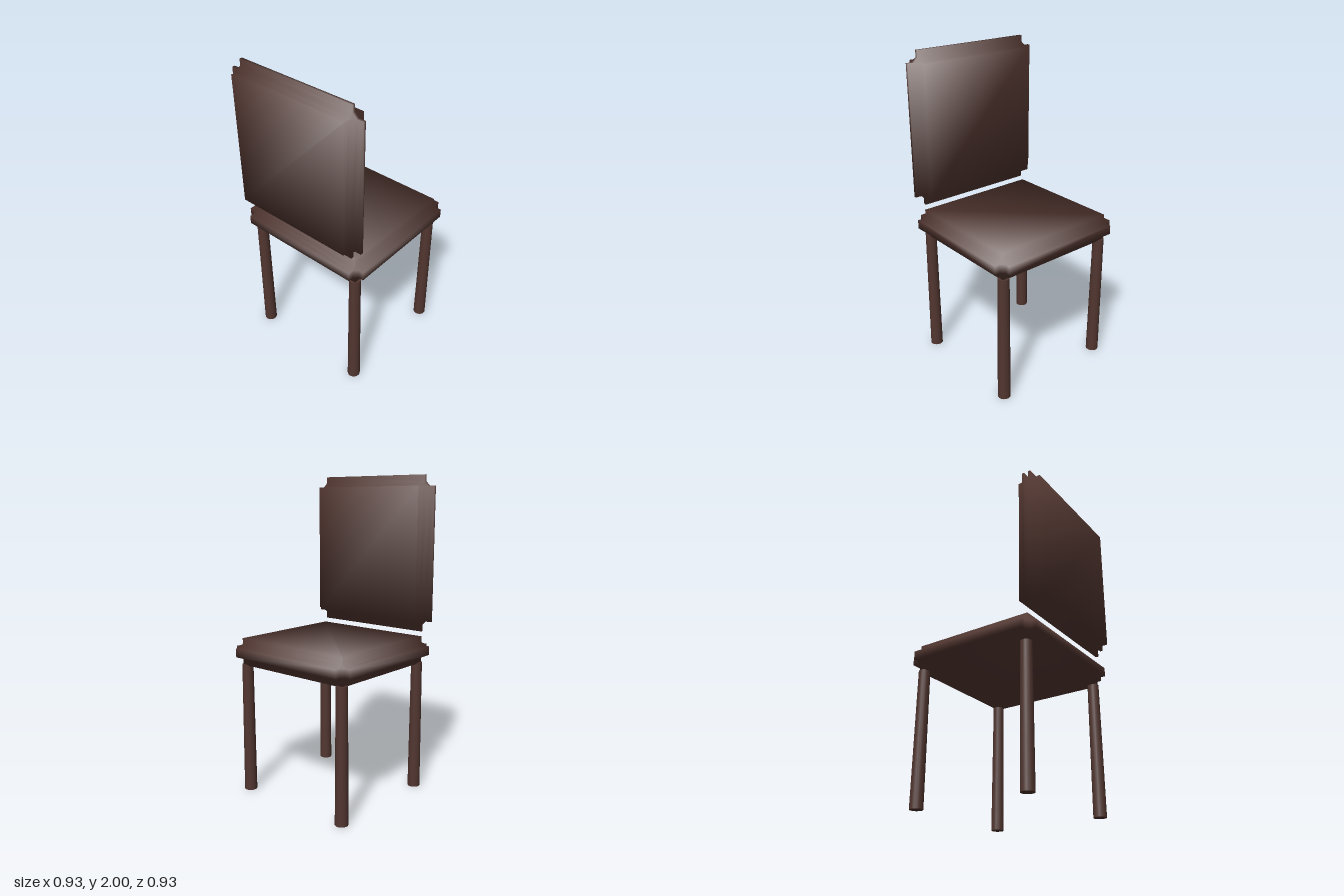
import * as THREE from 'three';

const wood = new THREE.MeshStandardMaterial({ color: 0x523630 });
wood.name = 'darkWood';

// Panel with inward-stepped edges: a chamfered core with a raised plate on each
// of its six sides. Normals point to the corners, for soft pillow-like shading.
function steppedPanel(half, step) {
  const inner = half.map((h) => h - step);
  const mid = inner.map((h) => h + step * 0.4);
  const pos = [], nor = [];

  // Corner of the plate on one axis, at that plate's given level
  const corner = (axis, level, signs) => ({
    signs,
    p: new THREE.Vector3(...signs.map((s, i) => s * (i === axis ? level[i] : inner[i]))),
  });
  const tri = (a, b, c, out) => {
    const n = b.p.clone().sub(a.p).cross(c.p.clone().sub(a.p));
    const order = n.dot(new THREE.Vector3(...out)) > 0 ? [a, b, c] : [a, c, b];
    for (const v of order) {
      pos.push(v.p.x, v.p.y, v.p.z);
      nor.push(...v.signs.map((s) => s / Math.sqrt(3)));
    }
  };
  const quad = (a, b, c, d, out) => {
    tri(a, b, c, out);
    tri(a, c, d, out);
  };
  const signsOf = (u, su, v, sv, w, sw) => {
    const s = [0, 0, 0];
    s[u] = su; s[v] = sv; s[w] = sw;
    return s;
  };

  for (let a = 0; a < 3; a++) {
    const u = (a + 1) % 3, v = (a + 2) % 3;
    for (const s of [-1, 1]) {
      // Plate face
      const ring = [[1, s], [-1, s], [-1, -s], [1, -s]]
        .map(([su, sv]) => signsOf(a, s, u, su, v, sv));
      quad(...ring.map((c) => corner(a, half, c)), signsOf(a, s, u, 0, v, 0));
      // Plate side walls
      for (let i = 0; i < 4; i++) {
        const c = ring[i], d = ring[(i + 1) % 4];
        const out = c.map((x, k) => (k !== a && x === d[k] ? x : 0));
        quad(corner(a, half, c), corner(a, half, d), corner(a, mid, d), corner(a, mid, c), out);
      }
      // Chamfers between neighbouring plates
      for (const t of [-1, 1]) {
        const c = signsOf(a, s, u, t, v, -1), d = signsOf(a, s, u, t, v, 1);
        quad(corner(a, mid, c), corner(a, mid, d), corner(u, mid, d), corner(u, mid, c),
          signsOf(a, s, u, t, v, 0));
      }
    }
  }
  // Small triangles at the eight corners
  for (const x of [-1, 1]) for (const y of [-1, 1]) for (const z of [-1, 1]) {
    const s = [x, y, z];
    tri(corner(0, mid, s), corner(1, mid, s), corner(2, mid, s), s);
  }

  const g = new THREE.BufferGeometry();
  g.setAttribute('position', new THREE.Float32BufferAttribute(pos, 3));
  g.setAttribute('normal', new THREE.Float32BufferAttribute(nor, 3));
  return g;
}

export function createModel() {
  const chair = new THREE.Group();
  chair.name = 'chair';

  const add = (name, geometry, x, y, z) => {
    const mesh = new THREE.Mesh(geometry, wood);
    mesh.name = name;
    mesh.position.set(x, y, z);
    chair.add(mesh);
  };

  add('seat', steppedPanel([0.465, 0.085, 0.447], 0.057), 0, 0.916, -0.018);
  add('backrest', steppedPanel([0.465, 0.485, 0.077], 0.068), 0, 1.515, 0.387);

  // Four slightly tapered legs
  const leg = new THREE.CylinderGeometry(0.035, 0.04, 0.835, 16);
  for (const [side, x] of [['left', 0.388], ['right', -0.388]]) {
    add(side + 'FrontLeg', leg, x, 0.4175, 0.35);
    add(side + 'BackLeg', leg, x, 0.4175, -0.388);
  }
  return chair;
}
